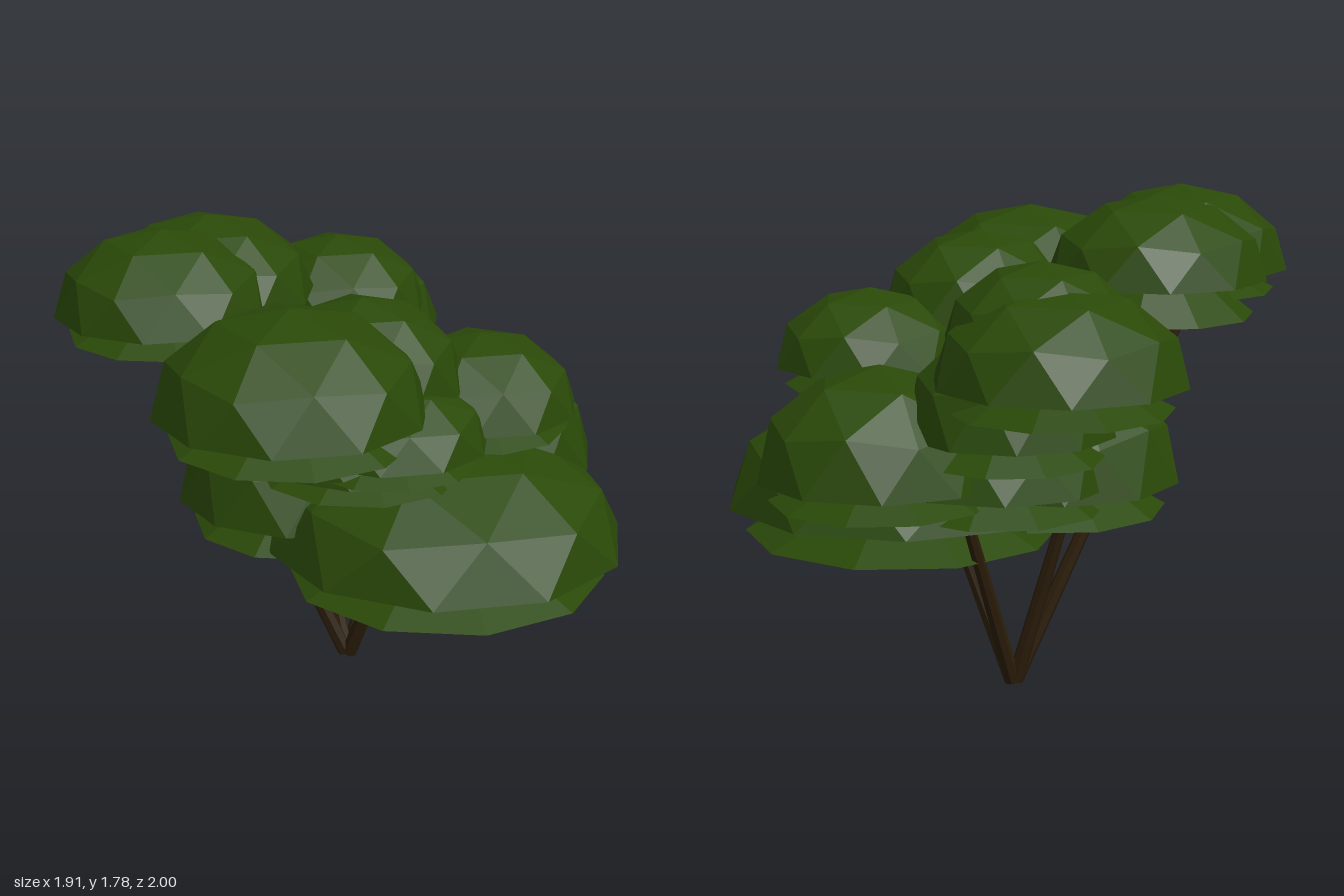
import * as THREE from 'three';

const leafGreen = new THREE.MeshStandardMaterial({ color: 0x2a4908, flatShading: true });
leafGreen.name = 'leafGreen';
const barkBrown = new THREE.MeshStandardMaterial({ color: 0x2c1e09, flatShading: true });
barkBrown.name = 'barkBrown';

// Faceted unit dome: icosphere with a vertex at the pole, lower half pressed flat
function domeGeometry() {
  const g = new THREE.IcosahedronGeometry(1, 1);
  g.rotateX(-Math.atan((1 + Math.sqrt(5)) / 2));
  g.rotateY(Math.PI / 2);
  const p = g.attributes.position;
  for (let i = 0; i < p.count; i++) p.setY(i, Math.max(0, p.getY(i)));
  g.computeVertexNormals();
  return g;
}

// Ten-sided flared layer, with corners pointing along x
function skirtGeometry() {
  return new THREE.ConeGeometry(0.885, 1, 10).rotateY(Math.PI / 2);
}

// One leaf clump: a dome with a smaller flared layer under it
function leafClump(dome, skirt, [x, z, y, r, h, drop], index) {
  const clump = new THREE.Group();
  clump.name = 'leafClump' + (index + 1);
  clump.position.set(x, y, z);

  const top = new THREE.Mesh(dome, leafGreen);
  top.name = 'clumpDome';
  top.scale.set(r, h, r);

  const skirtHeight = drop * 2.2;
  const under = new THREE.Mesh(skirt, leafGreen);
  under.name = 'clumpSkirt';
  under.scale.set(r, skirtHeight, r);
  under.position.y = -drop + skirtHeight / 2;
  clump.add(top, under);
  return clump;
}

// Straight tapered branch between two points
function branch(from, to, index) {
  const dir = to.clone().sub(from);
  const mesh = new THREE.Mesh(new THREE.CylinderGeometry(0.018, 0.03, dir.length(), 7), barkBrown);
  mesh.name = 'branch' + (index + 1);
  mesh.position.copy(from).addScaledVector(dir, 0.5);
  mesh.quaternion.setFromUnitVectors(new THREE.Vector3(0, 1, 0), dir.normalize());
  return mesh;
}

export function createModel() {
  const model = new THREE.Group();
  model.name = 'tree';

  // Clumps: x, z, rim height, radius, dome height, skirt drop
  const clumps = [
    [0.205, 0.52, 1.28, 0.48, 0.36, 0.10],
    [-0.485, 0.445, 1.47, 0.39, 0.30, 0.08],
    [-0.535, 0.175, 1.47, 0.395, 0.29, 0.13],
    [-0.535, -0.475, 1.20, 0.44, 0.33, 0.09],
    [-0.415, -0.40, 1.32, 0.34, 0.27, 0.08],
    [0.15, -0.55, 0.81, 0.45, 0.39, 0.09],
    [-0.295, -0.41, 0.99, 0.372, 0.38, 0.09],
    [0.325, -0.17, 0.63, 0.66, 0.40, 0.127],
    [0.19, 0.14, 1.28, 0.365, 0.31, 0.09],
    [0.395, -0.265, 1.135, 0.355, 0.275, 0.075],
    [0.37, 0.20, 1.12, 0.35, 0.23, 0.07],
    [0.19, 0.14, 1.03, 0.415, 0.30, 0.08],
    [-0.205, 0.03, 0.73, 0.46, 0.41, 0.11],
    [-0.13, -0.23, 0.77, 0.44, 0.35, 0.10],
  ];
  const foliage = new THREE.Group();
  foliage.name = 'foliage';
  const dome = domeGeometry();
  const skirt = skirtGeometry();
  clumps.forEach((c, i) => foliage.add(leafClump(dome, skirt, c, i)));

  // Branches fan out from one root point
  const tips = [
    [-0.63, 1.42, 0.28], [-0.49, 1.0, -0.19], [-0.16, 0.95, -0.60],
    [0.29, 1.0, -0.18], [0.10, 1.0, -0.42],
  ];
  const trunk = new THREE.Group();
  trunk.name = 'trunk';
  tips.forEach(([x, y, z], i) => {
    const a = Math.atan2(z + 0.18, x + 0.165);
    const root = new THREE.Vector3(-0.165 + 0.008 * Math.cos(a), 0.005, -0.18 + 0.008 * Math.sin(a));
    trunk.add(branch(root, new THREE.Vector3(x, y, z), i));
  });

  model.add(foliage, trunk);
  return model;
}
